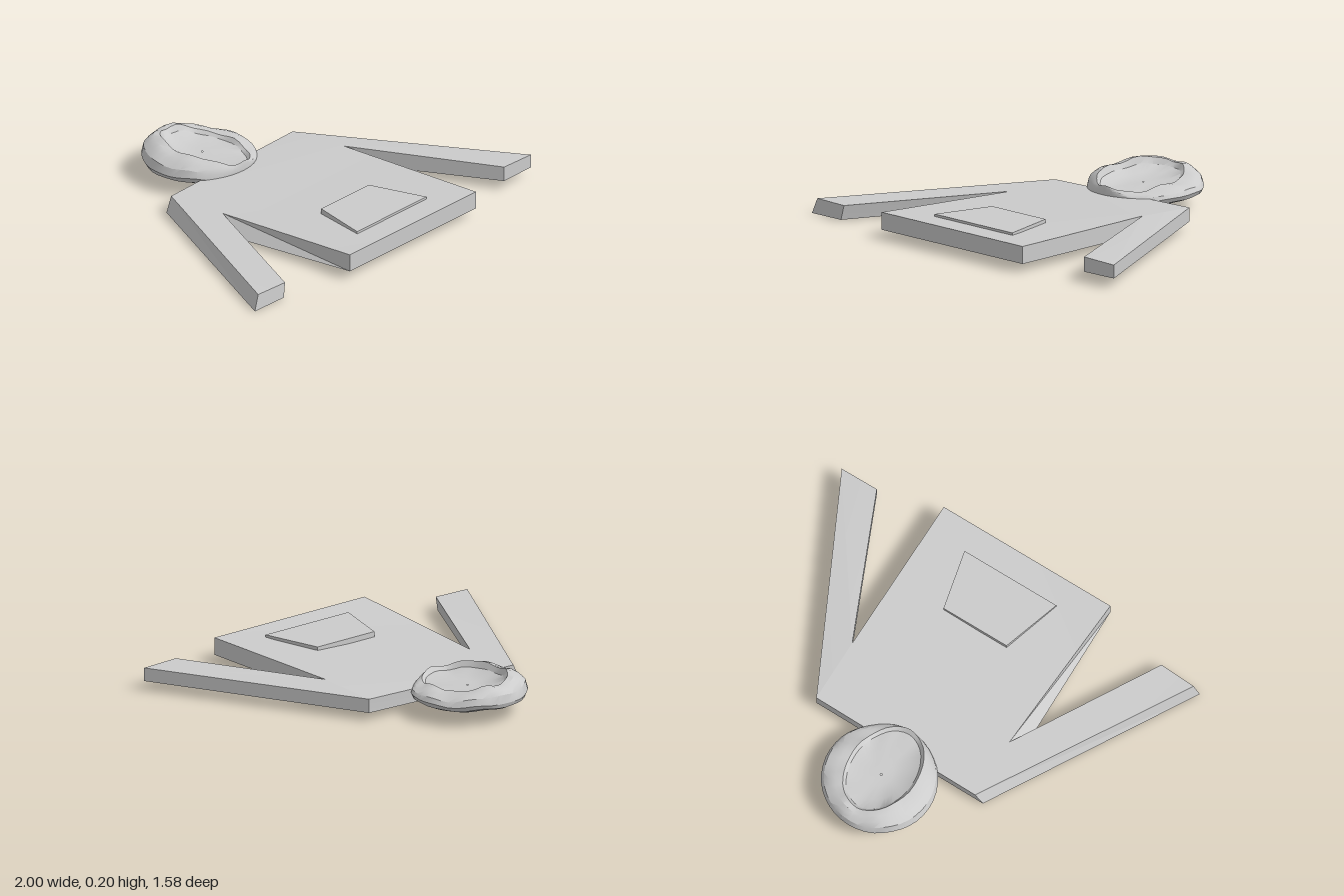
import * as THREE from 'three';
import { toCreasedNormals } from 'three/addons/utils/BufferGeometryUtils.js';

const grey = new THREE.MeshStandardMaterial({ color: 0xcccccc, side: THREE.DoubleSide });

function makeMesh(name, points, index, crease) {
  const g = new THREE.BufferGeometry();
  g.setAttribute('position', new THREE.Float32BufferAttribute(points.flat(), 3));
  g.setIndex(index);
  const mesh = new THREE.Mesh(toCreasedNormals(g, crease), grey);
  mesh.name = name;
  return mesh;
}

// Closed slab between matching top and bottom outlines (counterclockwise from above)
function slab(name, top, bottom, cap) {
  const n = top.length;
  const index = [];
  for (const [a, b, c] of cap) index.push(a, b, c, a + n, c + n, b + n);
  for (let i = 0; i < n; i++) {
    const j = (i + 1) % n;
    index.push(i, i + n, j + n, i, j + n, j);
  }
  return makeMesh(name, [...top, ...bottom], index, 0.1);
}

// Hood lofted through rings: [half width, back z, front z, back y, front y, sideways tilt, ripple]
function makeHood() {
  const rings = [
    [0.01, -0.52, -0.50, 0.05, 0.05, 0, 0],
    [0.13, -0.66, -0.37, 0.062, 0.042, 0, 0],
    [0.22, -0.75, -0.29, 0.07, 0.046, 0, 0.003],
    [0.262, -0.782, -0.25, 0.085, 0.065, 0, 0.004],
    [0.275, -0.79, -0.24, 0.105, 0.09, 0, 0.004],
    [0.262, -0.782, -0.241, 0.145, 0.11, -0.01, 0.005],
    [0.235, -0.765, -0.242, 0.165, 0.122, -0.015, 0.005],
    [0.205, -0.745, -0.243, 0.178, 0.13, -0.02, 0.006],
    [0.17, -0.718, -0.245, 0.18, 0.14, -0.022, 0.007],
    [0.155, -0.70, -0.262, 0.155, 0.12, -0.015, 0.004],
    [0.11, -0.64, -0.33, 0.132, 0.115, -0.006, 0],
    [0.05, -0.56, -0.43, 0.122, 0.118, 0, 0],
    [0.005, -0.505, -0.495, 0.12, 0.12, 0, 0],
  ];
  const n = 40;
  const points = [], index = [];
  rings.forEach(([w, zb, zf, yb, yf, tilt, ripple], r) => {
    for (let i = 0; i < n; i++) {
      const a = (i / n) * Math.PI * 2, s = Math.sin(a), c = Math.cos(a);
      const wave = ripple * (Math.sin(5 * a + 0.6) + 0.6 * Math.sin(9 * a + r));
      points.push([0.025 + w * s, (yb + yf) / 2 + ((yf - yb) / 2) * c + tilt * s + wave,
        (zb + zf) / 2 + ((zf - zb) / 2) * c]);
      if (r === rings.length - 1) continue;
      const j = (i + 1) % n, l = r * n, u = l + n;
      index.push(l + i, l + j, u + j, l + i, u + j, u + i);
    }
  });
  return makeMesh('hood', points, index, 0.5);
}

export function createModel() {
  const group = new THREE.Group();
  group.name = 'hoodedSweater';

  // Torso and both sleeves: right shoulder, cuff, armpit, hem, then the left side
  const top = [
    [-0.395, 0.085, -0.34], [-0.97, 0.075, 0.67], [-0.785, 0.075, 0.68], [-0.39, 0.085, -0.03],
    [-0.435, 0.125, 0.785], [0.49, 0.125, 0.785], [0.49, 0.125, -0.02],
    [0.805, 0.115, 0.695], [1, 0.11, 0.695], [0.49, 0.108, -0.335],
  ];
  const bottom = [
    [-0.435, 0.015, -0.335], [-1, 0, 0.675], [-0.8, 0.004, 0.685], [-0.45, 0.015, 0.05],
    [-0.435, 0.04, 0.785], [0.49, 0.04, 0.785], [0.49, 0.04, -0.02],
    [0.805, 0.043, 0.695], [1, 0.045, 0.695], [0.49, 0.04, -0.335],
  ];
  group.add(slab('torsoAndSleeves', top, bottom, [
    [0, 1, 2], [0, 2, 3], [3, 4, 5], [3, 5, 6], [0, 3, 6], [0, 6, 9], [6, 7, 8], [6, 8, 9],
  ]));

  // Front pocket, a thin patch on the torso
  const outline = [[-0.13, 0.355], [-0.22, 0.65], [0.29, 0.65], [0.22, 0.355]];
  group.add(slab('pocket', outline.map(([x, z]) => [x, 0.13, z]),
    outline.map(([x, z]) => [x, 0.1, z]), [[0, 1, 2], [0, 2, 3]]));

  group.add(makeHood());
  return group;
}
